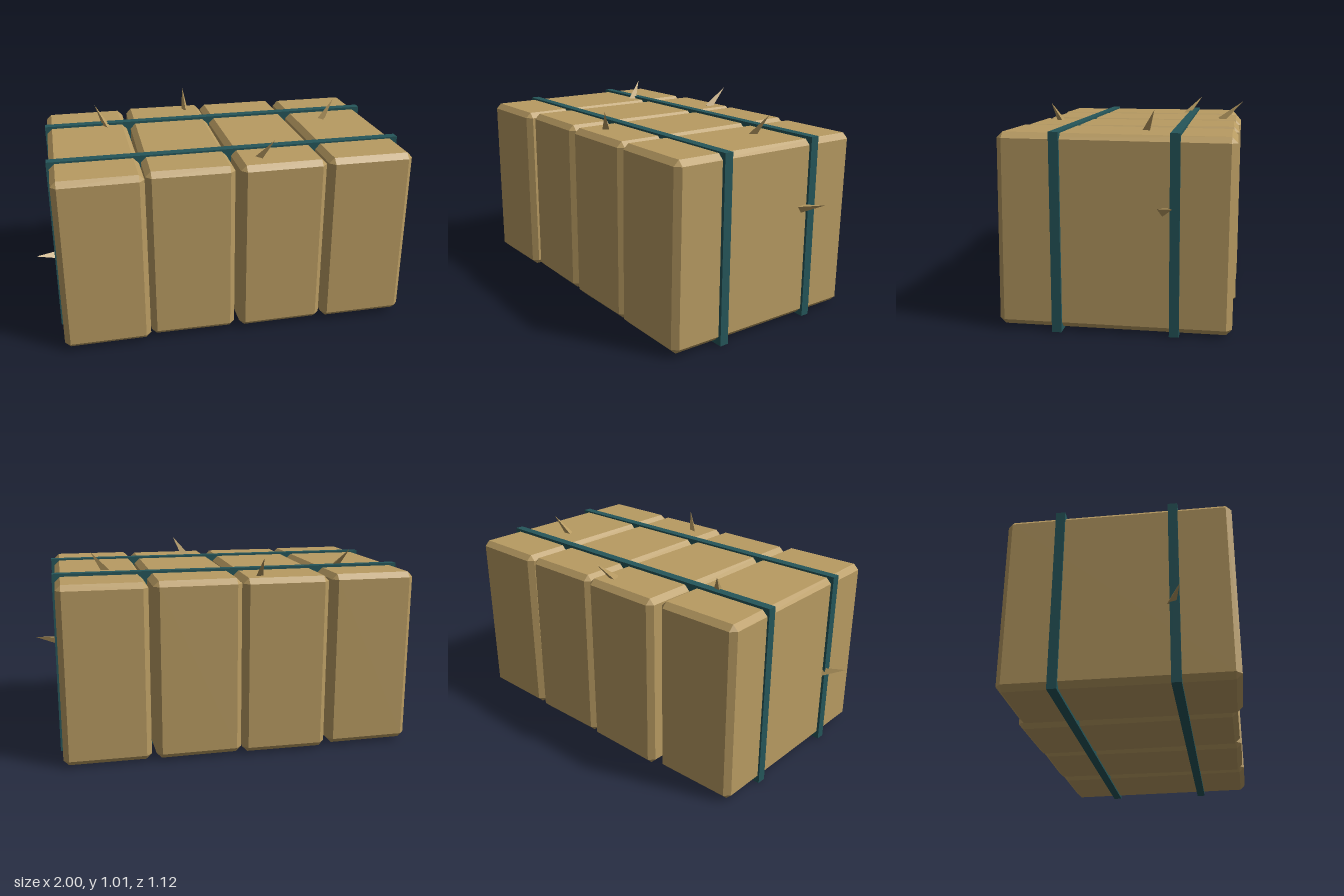
import * as THREE from 'three';
import { ConvexGeometry } from 'three/addons/geometries/ConvexGeometry.js';

// Box whose edges and corners are cut flat by c
function chamferedBox(w, h, d, c) {
  const half = [w / 2, h / 2, d / 2];
  const points = [];
  for (const sx of [-1, 1]) for (const sy of [-1, 1]) for (const sz of [-1, 1]) {
    for (let axis = 0; axis < 3; axis++) {
      const p = [sx, sy, sz].map((s, i) => s * (half[i] - (i === axis ? 0 : c)));
      points.push(new THREE.Vector3(...p));
    }
  }
  return new ConvexGeometry(points);
}

export function createModel() {
  const model = new THREE.Group();
  model.name = 'hayBale';
  const hay = new THREE.MeshStandardMaterial({ color: 0xb89b62 });
  hay.name = 'hay';
  const twine = new THREE.MeshStandardMaterial({ color: 0x25565a });
  twine.name = 'twine';

  const add = (name, geometry, material) => {
    const mesh = new THREE.Mesh(geometry, material);
    mesh.name = name;
    model.add(mesh);
    return mesh;
  };

  // Four pressed slabs, each slightly askew: x, z, tilt, turn
  const slabs = [
    [-0.679, 0.016, -0.004, 0.006],
    [-0.227, -0.007, -0.006, -0.014],
    [0.224, 0.004, -0.004, 0.006],
    [0.676, 0.013, -0.011, -0.006],
  ];
  const slabGeometry = chamferedBox(0.436, 0.9, 1.08, 0.027);
  slabs.forEach(([x, z, tilt, turn], i) => {
    const slab = add(`slab${i + 1}`, slabGeometry, hay);
    slab.position.set(x, 0.463, z);
    slab.rotation.set(tilt, turn, 0);
  });

  // Two straps passing around and between the slabs
  for (const [name, z] of [['frontStrap', 0.28], ['backStrap', -0.26]]) {
    add(name, new THREE.BoxGeometry(1.816, 0.924, 0.045), twine).position.set(0, 0.462, z);
  }

  // Loose straws: base point to tip
  const straws = [
    [-0.57, 0.9, -0.22, -0.63, 1.01, -0.31],
    [-0.098, 0.9, -0.44, -0.093, 1.01, -0.56],
    [0.125, 0.9, 0.415, 0.19, 1.01, 0.46],
    [0.63, 0.9, -0.105, 0.71, 1.01, -0.148],
    [0.89, 0.576, -0.2, 1.0, 0.607, -0.257],
    [-0.89, 0.398, 0.262, -1.0, 0.427, 0.311],
  ];
  straws.forEach(([bx, by, bz, tx, ty, tz], i) => {
    const base = new THREE.Vector3(bx, by, bz);
    const tip = new THREE.Vector3(tx, ty, tz);
    const length = base.distanceTo(tip);
    const geometry = new THREE.ConeGeometry(0.024, length, 3).toNonIndexed();
    geometry.computeVertexNormals();
    const straw = add(`straw${i + 1}`, geometry, hay);
    straw.position.copy(base).lerp(tip, 0.5);
    straw.quaternion.setFromUnitVectors(new THREE.Vector3(0, 1, 0), tip.sub(base).normalize());
  });

  return model;
}
